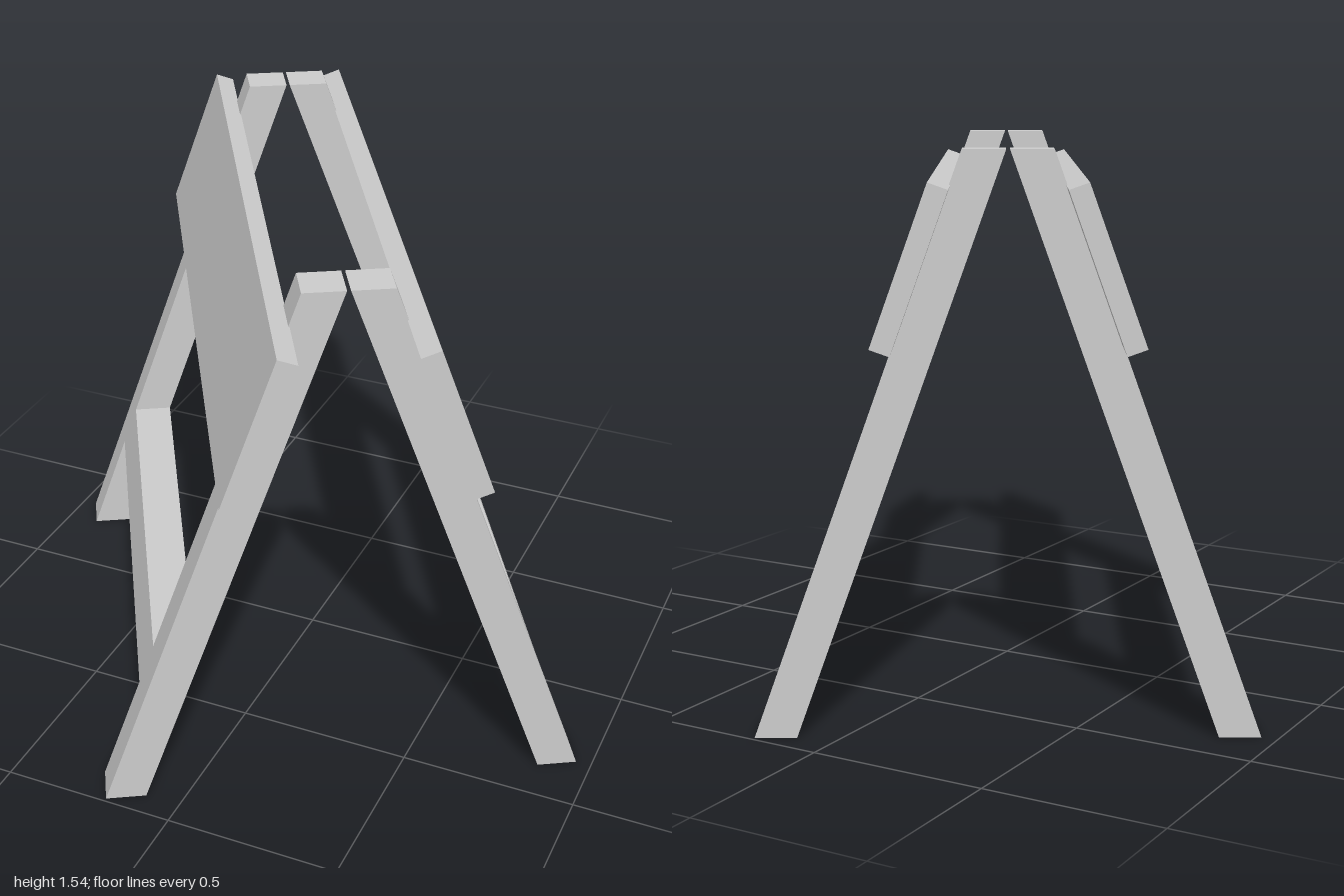
import * as THREE from 'three';

const material = new THREE.MeshStandardMaterial({ color: 0xcccccc, flatShading: true });
const LEAN = 0.358; // how far each side leans inward per unit of height
const FOOT_IN = 0.555, FOOT_OUT = 0.667; // inner and outer edge of a foot
const LEG_IN = 0.645, LEG_OUT = 0.758; // extent of a leg along the barrier

// Bar with level top and bottom, sheared to follow the lean of the frame
function leaningBar(name, y0, y1, z0, z1) {
  const geometry = new THREE.BoxGeometry(FOOT_OUT - FOOT_IN, y1 - y0, z1 - z0);
  geometry.translate((FOOT_IN + FOOT_OUT) / 2, (y0 + y1) / 2, (z0 + z1) / 2);
  const p = geometry.attributes.position;
  for (let i = 0; i < p.count; i++) p.setX(i, p.getX(i) - LEAN * p.getY(i));
  geometry.computeVertexNormals();
  const mesh = new THREE.Mesh(geometry, material);
  mesh.name = name;
  return mesh;
}

// One leaning half: two legs, a cross rail and the board
function createSide(name) {
  const side = new THREE.Group();
  side.name = name;
  side.add(
    leaningBar('frontLeg', 0, 1.537, LEG_IN, LEG_OUT),
    leaningBar('backLeg', 0, 1.537, -LEG_OUT, -LEG_IN),
    leaningBar('crossRail', 0.31, 0.43, -LEG_IN, LEG_IN)
  );

  // Board lies flat against the outer faces of the legs
  const tilt = Math.atan(LEAN), thickness = 0.054, y = 1.255;
  const board = new THREE.Mesh(new THREE.BoxGeometry(thickness, 0.431, 1.91), material);
  board.name = 'board';
  board.rotation.z = tilt;
  board.position.set(
    FOOT_OUT - LEAN * y + (thickness / 2) * Math.cos(tilt),
    y + (thickness / 2) * Math.sin(tilt) - 0.01,
    0
  );
  side.add(board);
  return side;
}

export function createModel() {
  const model = new THREE.Group();
  model.name = 'barricade';
  const left = createSide('leftSide');
  const right = createSide('rightSide');
  right.rotation.y = Math.PI;
  model.add(left, right);
  model.rotation.y = Math.PI / 6; // the barrier stands at an angle

  const root = new THREE.Group();
  root.add(model);
  return root;
}
